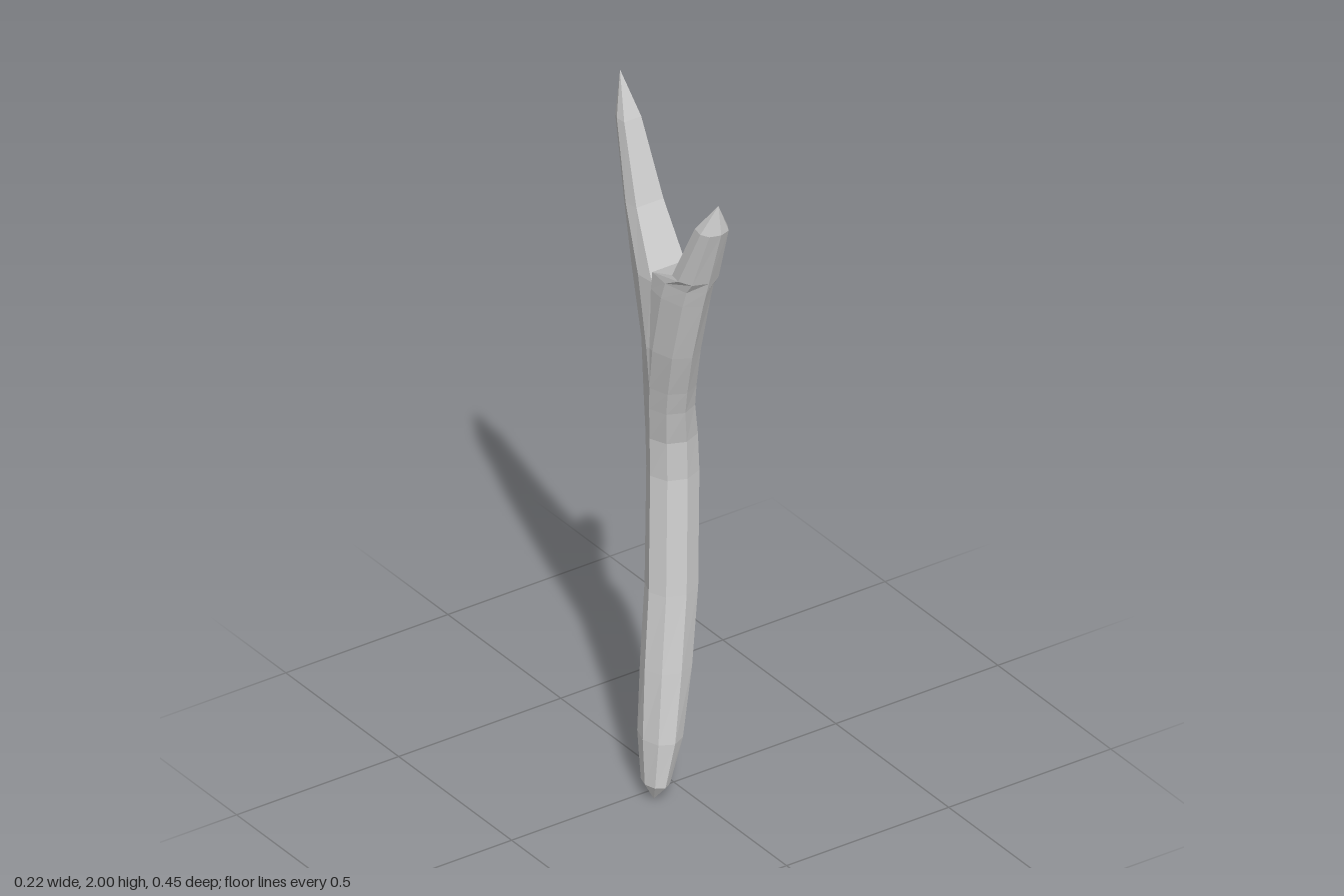
import * as THREE from 'three';

const material = new THREE.MeshStandardMaterial({ color: 0xcccccc, flatShading: true, side: THREE.DoubleSide });
const SIDES = 8;

// Octagonal ring of a stem: [y, left x, right x, front z, back z]
function stemRing([y, x0, x1, zf, zb]) {
  return Array.from({ length: SIDES }, (_, i) => {
    const a = (i / SIDES) * Math.PI * 2;
    return [(x0 + x1) / 2 + Math.cos(a) * (x1 - x0) / 2, y, (zf + zb) / 2 + Math.sin(a) * (zf - zb) / 2];
  });
}

// Ring of a prong: bevelled outside, square inside: [y, left x, right x, outer z, inner z, side position 0..1]
function prongRing([y, x0, x1, zo, zi, s]) {
  const dir = Math.sign(zo - zi) || 1;
  const zs = zi + (zo - zi) * s;
  return Array.from({ length: SIDES }, (_, i) => {
    const a = (i / SIDES) * Math.PI * 2;
    const c = Math.cos(a), t = Math.sin(a) * dir;
    const inner = t < -0.01;
    const cx = inner && Math.abs(c) > 0.1 ? Math.sign(c) * (1 - 0.25 * s) : c;
    return [(x0 + x1) / 2 + cx * (x1 - x0) / 2, y, inner ? zi : zs + (zo - zs) * t];
  });
}

// Skin a stack of rings
function loft(name, rings) {
  const index = [];
  for (let r = 0; r < rings.length - 1; r++) {
    for (let i = 0; i < SIDES; i++) {
      const a = r * SIDES + i, b = r * SIDES + (i + 1) % SIDES;
      index.push(a, a + SIDES, b, b, a + SIDES, b + SIDES);
    }
  }
  const geometry = new THREE.BufferGeometry();
  geometry.setAttribute('position', new THREE.Float32BufferAttribute(rings.flat(2), 3));
  geometry.setIndex(index);
  const flat = geometry.toNonIndexed();
  flat.computeVertexNormals();
  const mesh = new THREE.Mesh(flat, material);
  mesh.name = name;
  return mesh;
}

export function createModel() {
  const group = new THREE.Group();
  group.name = 'forkedStick';

  // Curved stem, blunt point at the foot
  group.add(loft('stem', [
    [0, -0.088, -0.088, 0.038, 0.038],
    [0.045, -0.11, -0.045, 0.075, -0.015],
    [0.17, -0.107, 0, 0.083, -0.05],
    [0.36, -0.087, 0.045, 0.065, -0.072],
    [0.57, -0.06, 0.08, 0.043, -0.092],
    [0.89, -0.035, 0.105, 0.012, -0.12],
    [1.0, -0.036, 0.1, 0.012, -0.122],
    [1.1, -0.048, 0.078, 0.03, -0.11],
    [1.17, -0.056, 0.07, 0.05, -0.105],
  ].map(stemRing)));

  // Short prong leaning forward
  group.add(loft('frontProng', [
    [1.17, -0.056, 0.07, 0.05, -0.0275, 0],
    [1.3, -0.07, 0.056, 0.092, -0.01, 0.15],
    [1.48, -0.074, 0.05, 0.147, -0.003, 0.35],
    [1.53, -0.072, 0.048, 0.163, 0, 0.4],
    [1.562, -0.07, 0.046, 0.173, 0.085, 0.4],
    [1.73, -0.052, 0.032, 0.225, 0.16, 0.5],
    [1.812, -0.011, -0.011, 0.214, 0.214, 0.5],
  ].map(prongRing)));

  // Long prong leaning back
  group.add(loft('backProng', [
    [1.17, -0.056, 0.07, -0.105, -0.0275, 0],
    [1.3, -0.07, 0.056, -0.089, -0.01, 0.15],
    [1.5, -0.074, 0.05, -0.13, 0, 0.4],
    [1.67, -0.058, 0.037, -0.17, -0.09, 0.5],
    [1.88, -0.04, 0.02, -0.222, -0.167, 0.5],
    [2.0, -0.011, -0.011, -0.222, -0.222, 0.5],
  ].map(prongRing)));

  return group;
}
